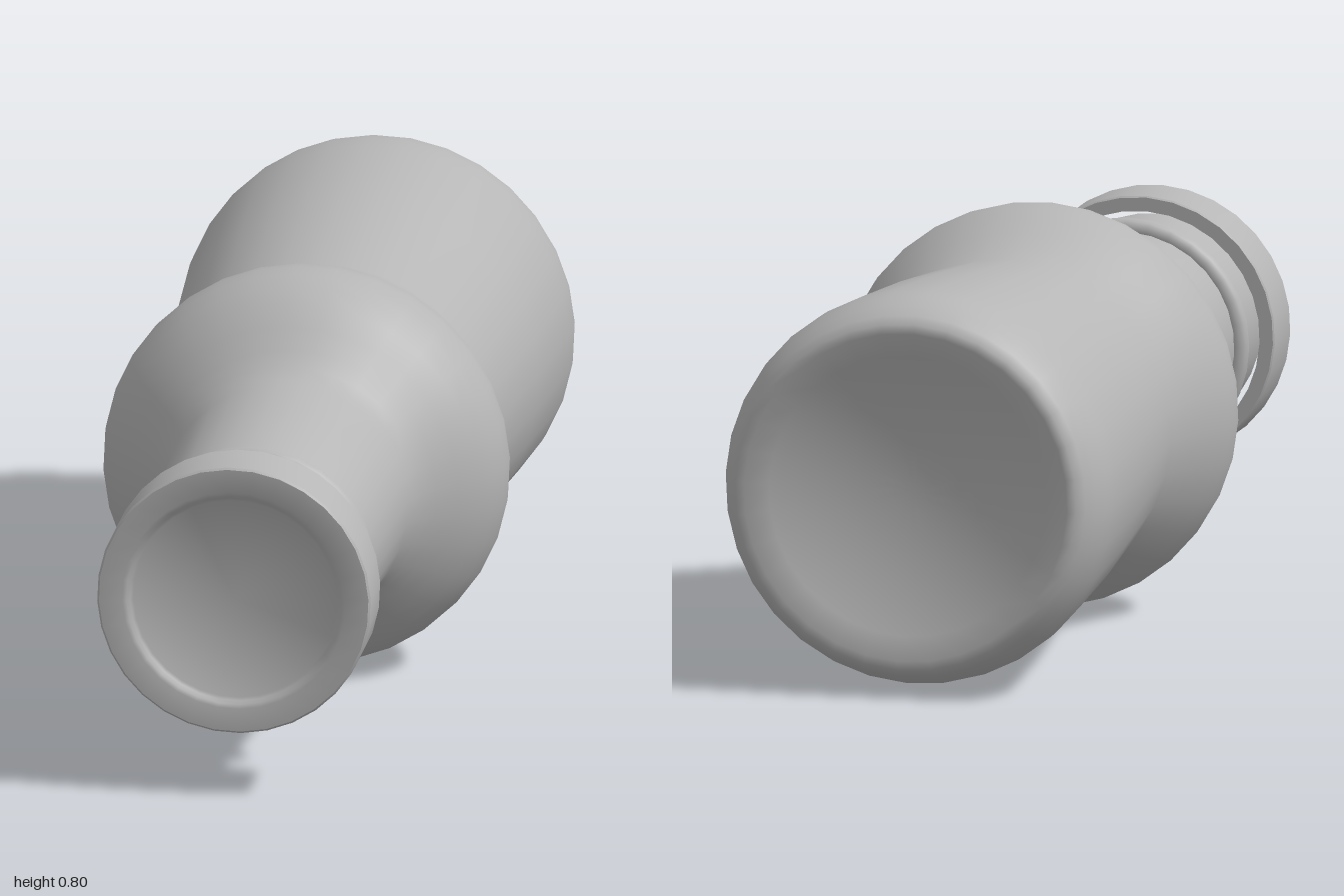
import * as THREE from 'three';
import { toCreasedNormals } from 'three/addons/utils/BufferGeometryUtils.js';

const AXIS_Y = 0.403;
const SIDES = 32;

// Turn a profile of [radius, z] points, listed from back to front, around the z axis
function turned(name, profile, material) {
  const points = profile.map(([r, z]) => new THREE.Vector2(r, z));
  const lathe = new THREE.LatheGeometry(points, SIDES, 0.05);
  lathe.rotateX(Math.PI / 2);
  const mesh = new THREE.Mesh(toCreasedNormals(lathe, 0.75), material);
  mesh.name = name;
  mesh.position.y = AXIS_Y;
  return mesh;
}

export function createModel() {
  const group = new THREE.Group();
  group.name = 'bottle';
  const grey = new THREE.MeshStandardMaterial({ color: 0xb6b6b6 });
  grey.name = 'grey';

  // Concave base
  const dish = [];
  for (let i = 0; i <= 7; i++) {
    const t = i / 7;
    dish.push([0.325 * t, -0.93 - 0.07 * t * t]);
  }

  // Body: rounded heel, tapering barrel, waist, bulging shoulder and neck
  group.add(turned('body', [
    ...dish,
    [0.343, -0.997], [0.358, -0.98], [0.373, -0.95], [0.383, -0.915], [0.387, -0.88], [0.386, -0.83],
    [0.366, -0.55], [0.332, -0.2], [0.335, -0.17], [0.346, -0.13], [0.364, -0.08],
    [0.383, -0.03], [0.396, 0.015], [0.4, 0.05], [0.396, 0.085], [0.382, 0.125], [0.358, 0.165],
    [0.322, 0.205], [0.286, 0.24], [0.261, 0.27], [0.246, 0.3], [0.241, 0.33],
    [0.235, 0.45], [0.222, 0.74], [0.217, 0.76], [0.217, 0.975], [0, 0.975],
  ], grey));

  // Raised ring below the cap
  const ring = new THREE.Mesh(new THREE.TorusGeometry(0.225, 0.02, 10, SIDES), grey);
  ring.name = 'neckRing';
  ring.position.set(0, AXIS_Y, 0.768);
  group.add(ring);

  // Cap: hollow skirt, rounded front edge and shallow recessed face
  group.add(turned('cap', [
    [0.24, 0.97], [0.24, 0.87], [0.267, 0.87], [0.27, 0.873], [0.27, 0.996], [0.266, 1],
    [0.22, 1], [0.212, 0.997], [0.206, 0.99], [0.2, 0.986], [0, 0.986],
  ], grey));

  return group;
}
